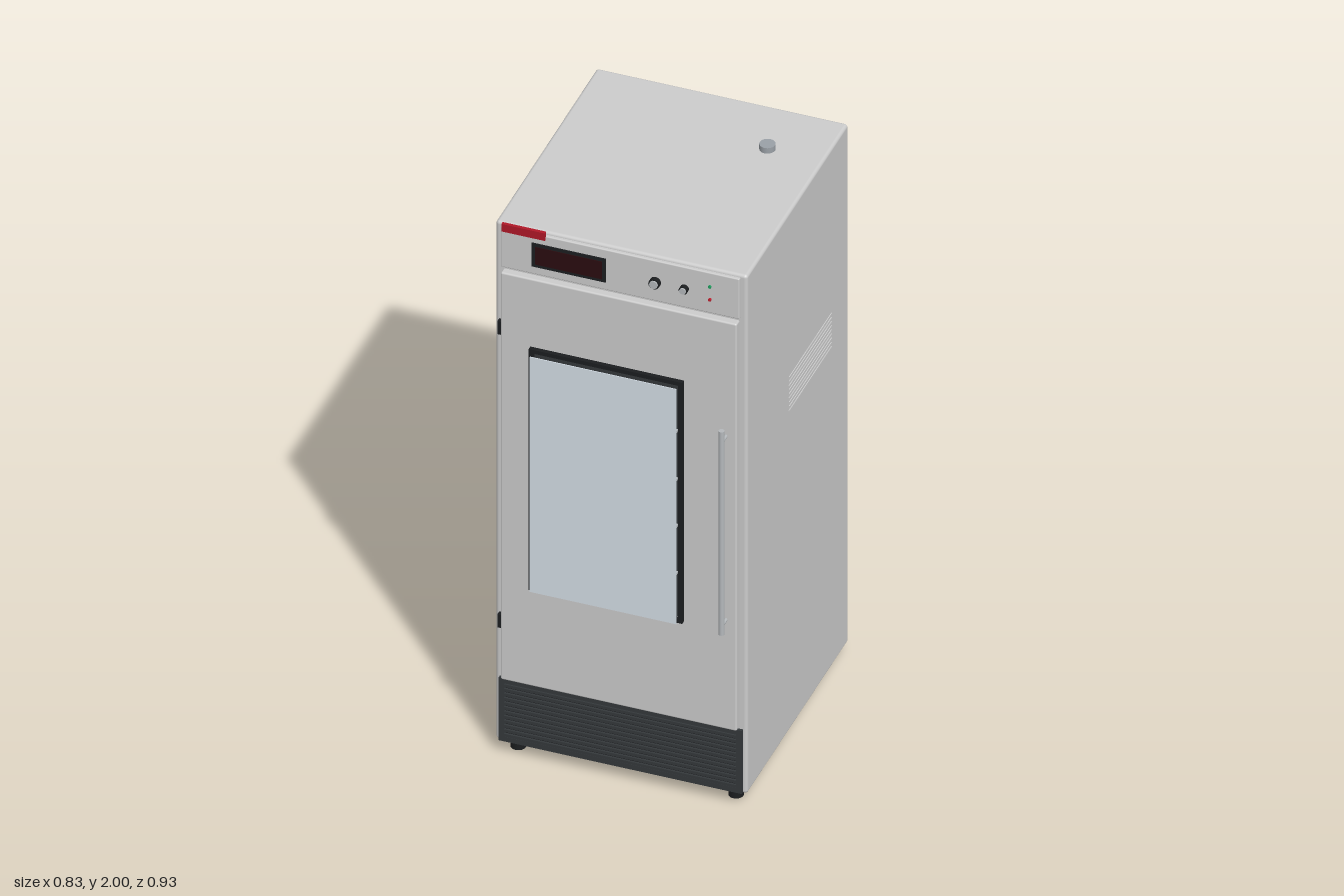
import * as THREE from 'three';
import { RoundedBoxGeometry } from 'three/addons/geometries/RoundedBoxGeometry.js';

const paint = (color) => new THREE.MeshStandardMaterial({ color });

export function createModel() {
  const root = new THREE.Group();
  const grey = paint(0xcccccc), light = paint(0xd8dadc), black = paint(0x1c1e20);
  const charcoal = paint(0x34383b), steel = paint(0xb4b8bb), red = paint(0xb01828);
  const glass = paint(0xd5dee6);

  const add = (name, geometry, material, x, y, z, parent = root) => {
    const mesh = new THREE.Mesh(geometry, material);
    mesh.name = name;
    mesh.position.set(x, y, z);
    parent.add(mesh);
    return mesh;
  };
  // Box given by its limits on each axis, optionally with rounded edges
  const box = (name, material, [x0, x1], [y0, y1], [z0, z1], radius = 0, parent = root) => {
    const size = [x1 - x0, y1 - y0, z1 - z0];
    const geometry = radius ? new RoundedBoxGeometry(...size, 3, radius) : new THREE.BoxGeometry(...size);
    return add(name, geometry, material, (x0 + x1) / 2, (y0 + y1) / 2, (z0 + z1) / 2, parent);
  };
  // Cylinder lying along z
  const rod = (name, material, r, x, y, z0, z1, parent = root) => {
    const geometry = new THREE.CylinderGeometry(r, r, z1 - z0, 24).rotateX(Math.PI / 2);
    return add(name, geometry, material, x, y, (z0 + z1) / 2, parent);
  };
  // Rectangular frame with an open middle
  const frame = (name, material, [x0, x1], [y0, y1], [z0, z1], border) => {
    const rect = (P, b) => new P([[x0 + b, y0 + b], [x1 - b, y0 + b], [x1 - b, y1 - b], [x0 + b, y1 - b]]
      .map(([x, y]) => new THREE.Vector2(x, y)));
    const shape = rect(THREE.Shape, 0);
    shape.holes.push(rect(THREE.Path, border));
    return add(name, new THREE.ExtrudeGeometry(shape, { depth: z1 - z0, bevelEnabled: false }), material, 0, 0, z0);
  };

  // Cabinet and door
  box('cabinet', grey, [-0.41, 0.41], [0.045, 1.98], [-0.467, 0.395], 0.011);
  box('door', grey, [-0.385, 0.385], [0.29, 1.81], [0.39, 0.42], 0.006);
  for (const y of [0.5, 1.595]) box('hinge', black, [-0.398, -0.385], [y - 0.024, y + 0.024], [0.39, 0.412]);

  // Window with raised pane and the shelves behind it
  box('windowBacking', charcoal, [-0.275, 0.2], [0.675, 1.545], [0.415, 0.423]);
  frame('windowFrame', black, [-0.287, 0.213], [0.658, 1.558], [0.418, 0.434], 0.014);
  for (const y of [0.84, 1.016, 1.19, 1.37]) {
    box('shelf', steel, [-0.265, 0.195], [y - 0.004, y + 0.004], [0.42, 0.453]);
  }
  box('windowPane', glass, [-0.275, 0.203], [0.67, 1.547], [0.455, 0.458]);

  // Door handle
  const handle = new THREE.Group();
  handle.name = 'handle';
  root.add(handle);
  add('handleBar', new THREE.CylinderGeometry(0.009, 0.009, 0.76, 24), steel, 0.35, 1.05, 0.457, handle);
  for (const y of [0.7, 1.385]) rod('handleMount', steel, 0.006, 0.35, y, 0.415, 0.457, handle);

  // Control panel with display, knobs and lamps
  box('controlPanel', light, [-0.39, 0.388], [1.82, 1.97], [0.385, 0.405], 0.004);
  box('displayBezel', black, [-0.288, -0.046], [1.85, 1.937], [0.4, 0.409]);
  box('displayScreen', paint(0x2a0c10), [-0.276, -0.058], [1.861, 1.926], [0.405, 0.411]);
  box('badge', red, [-0.385, -0.243], [1.957, 1.985], [0.4, 0.411]);
  for (const [x, r] of [[0.115, 0.018], [0.21, 0.014]]) {
    rod('knobSkirt', black, r, x, 1.892, 0.4, 0.42);
    rod('knobCap', steel, r * 0.75, x, 1.892, 0.41, 0.425);
  }
  [[1.92, 0x20a060], [1.872, 0xc02030]].forEach(([y, color]) => {
    rod('lamp', paint(color), 0.005, 0.293, y, 0.4, 0.411);
  });

  // Louvred plinth grille
  box('grillePanel', black, [-0.385, 0.385], [0.056, 0.28], [0.385, 0.4]);
  frame('grilleFrame', charcoal, [-0.396, 0.396], [0.05, 0.285], [0.39, 0.405], 0.018);
  for (let i = 0; i < 12; i++) {
    const y = 0.075 + i * 0.0168;
    box('grilleSlat', charcoal, [-0.378, 0.378], [y - 0.005, y + 0.005], [0.39, 0.407]);
  }

  // Side vents on both walls
  for (const side of [-1, 1]) {
    for (let i = 0; i < 9; i++) {
      const vent = box('sideVent', light, [-0.006, 0.006], [-0.004, 0.004], [-0.32, 0.042]);
      vent.position.x = side * 0.407;
      vent.position.y = 1.242 + i * 0.0155;
    }
  }

  // Feet
  for (const x of [-0.355, 0.355]) {
    for (const z of [-0.41, 0.345]) {
      add('foot', new THREE.CylinderGeometry(0.024, 0.024, 0.05, 24), black, x, 0.025, z);
    }
  }

  // Roof port
  add('roofPort', new THREE.CylinderGeometry(0.025, 0.025, 0.03, 32), paint(0x9aa0a6), 0.228, 1.985, -0.253);
  return root;
}
